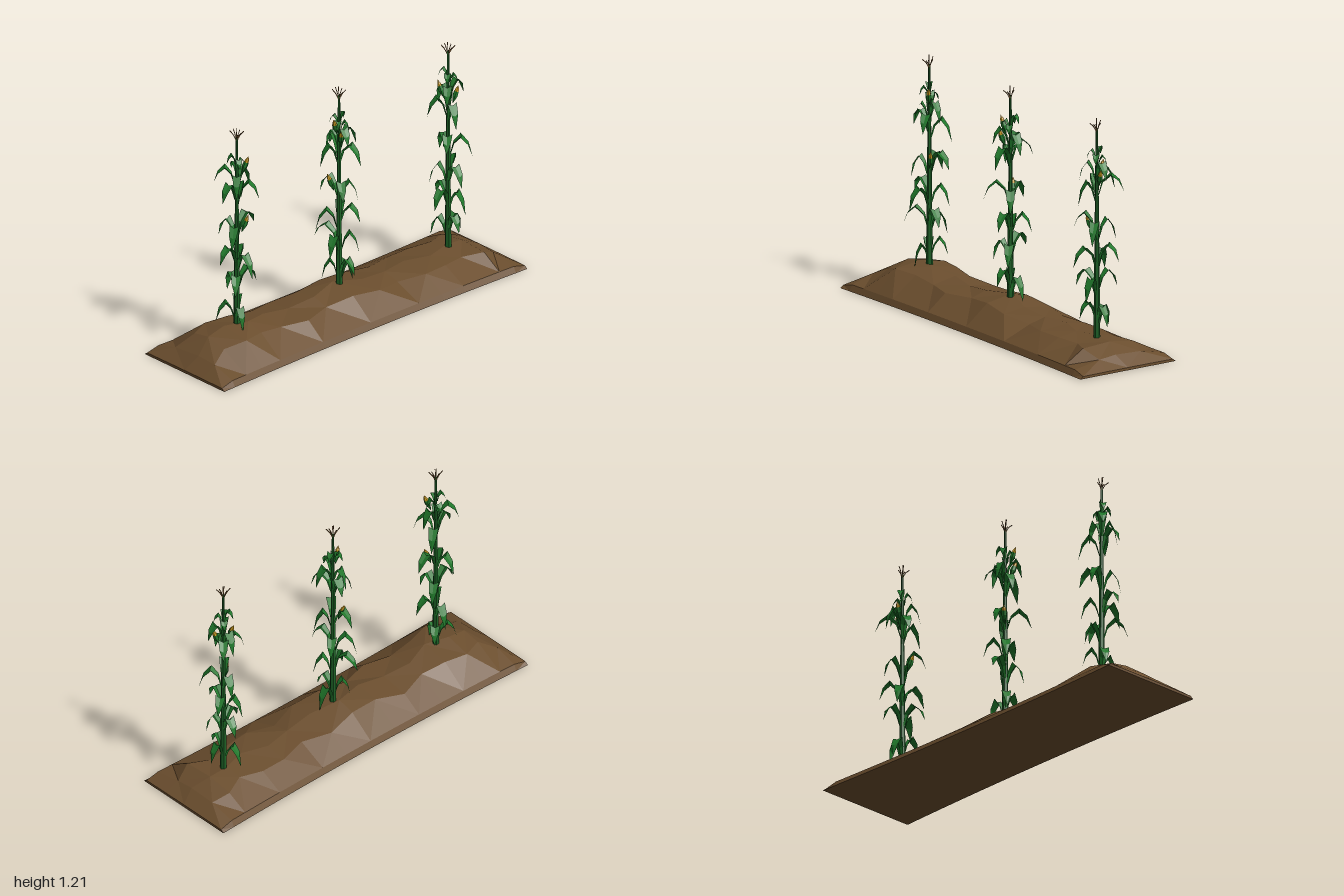
import * as THREE from 'three';

const mat = (color) => new THREE.MeshStandardMaterial({ color, flatShading: true, side: THREE.DoubleSide, roughness: 0.9 });
const soilMat = mat(0x6b4e2e), leafMat = mat(0x1f772a), stemMat = mat(0x1c5f25);
const cornMat = mat(0xd0a020), tasselMat = mat(0x7d5c35);
const rad = THREE.MathUtils.degToRad;

function mesh(geometry, material, name) {
  const m = new THREE.Mesh(geometry, material);
  m.name = name;
  return m;
}

// Surface through equal-length rows of points; a closed one also gets end caps
function loft(rows, closed) {
  const n = rows[0].length, idx = [];
  for (let i = 0; i < rows.length - 1; i++)
    for (let j = 0; j < (closed ? n : n - 1); j++) {
      const k = (j + 1) % n, a = i * n + j, b = i * n + k, c = b + n, d = a + n;
      if ((i + j) % 2) idx.push(a, b, c, a, c, d);
      else idx.push(a, b, d, b, c, d);
    }
  const last = (rows.length - 1) * n;
  if (closed) for (let k = 1; k < n - 1; k++) idx.push(0, k + 1, k, last, last + k, last + k + 1);
  const g = new THREE.BufferGeometry();
  g.setAttribute('position', new THREE.Float32BufferAttribute(rows.flat(2), 3));
  g.setIndex(idx);
  g.computeVertexNormals();
  return g;
}

// Crest of the soil: two soft mounds, falling off at both ends
function crest(z) {
  const bump = (centre, width) => Math.exp(-(((z - centre) / width) ** 2));
  const fall = Math.sin(Math.min(1, (1 - Math.abs(z)) / 0.2) * Math.PI / 2);
  return 0.014 + fall * (0.097 + 0.05 * bump(0.68, 0.25) + 0.043 * bump(0.03, 0.2));
}

function soilRidge() {
  const rows = [], segments = 16;
  for (let i = 0; i <= segments; i++) {
    const u = 1 - (2 * i) / segments, z = (u + Math.sin(u * Math.PI / 2)) / 2;
    const w = 0.265 + 0.02 * z * z, h = crest(z), edge = Math.min(0.03, h * 0.9);
    const end = i % segments === 0;
    rows.push([-1, -0.94, -0.46, 0, 0.46, 0.94, 1].map((s, j) => {
      const t = Math.abs(s), wobble = end || t > 0.5 ? 0 : Math.sin(i * 2.3 + j * 1.7);
      const y = t === 1 ? 0 : t > 0.5 ? edge : t ? edge + (h - edge) * 0.8 + wobble * 0.006 : h;
      return [s * w + wobble * 0.025, y, z];
    }));
  }
  return mesh(loft(rows, true), soilMat, 'soilRidge');
}

// Arching folded blade, angle measured from +z towards +x
function leaf(angle, reach, peak, drop, name) {
  const s = Math.min(1, reach / 0.1);
  const path = [[0.008, peak - 0.11 * s, 0.3], [0.025 * s, peak - 0.04 * s, 0.72], [reach * 0.5, peak, 1],
    [reach * 0.82, peak - drop * 0.38, 0.76], [reach, peak - drop, 0]];
  const rows = path.map(([r, y, width]) => {
    const hw = width * (0.011 + 0.014 * s);
    return [[-hw, y, r], [0, y - hw * 0.45, r + hw * 0.25], [hw, y, r]];
  });
  const m = mesh(loft(rows, false), leafMat, name);
  m.rotation.y = rad(angle);
  return m;
}

// Cob leaning out of its husk
function ear(angle, y) {
  const lathe = (pts) => new THREE.LatheGeometry(pts.map((p) => new THREE.Vector2(...p)), 6);
  const body = new THREE.Group();
  body.name = 'earBody';
  body.add(mesh(lathe([[0.008, 0], [0.012, 0.025], [0.01, 0.052], [0, 0.074]]), cornMat, 'cob'));
  body.add(mesh(lathe([[0, -0.025], [0.0145, 0.018], [0.0125, 0.042]]), leafMat, 'husk'));
  body.position.set(0, y - 0.045, 0.032);
  body.rotation.x = 0.35;
  const g = new THREE.Group();
  g.name = 'ear';
  g.add(body);
  g.rotation.y = rad(angle);
  return g;
}

function tassel() {
  const g = new THREE.Group();
  g.name = 'tassel';
  for (let i = 0; i < 7; i++) {
    const a = i * 2.4, r = i ? 0.024 + 0.01 * (i % 2) : 0.004;
    const at = (k, y) => new THREE.Vector3(Math.sin(a) * r * k, y, Math.cos(a) * r * k);
    const curve = new THREE.CatmullRomCurve3([at(0, 1.13), at(0.35, 1.165), at(1, i ? 1.185 + 0.006 * (i % 3) : 1.21)]);
    g.add(mesh(new THREE.TubeGeometry(curve, 3, 0.0025, 4), tasselMat, 'tasselStrand'));
  }
  return g;
}

function cornPlant({ z, turn, ears }, index) {
  const g = new THREE.Group();
  g.name = 'cornPlant' + (index + 1);
  g.position.z = z;
  // Stalk in tapering joints
  const joints = 7, bottom = crest(z) - 0.03, step = (1.16 - bottom) / joints;
  const radius = (i) => 0.017 - i * 0.0016;
  for (let i = 0; i < joints; i++) {
    const joint = mesh(new THREE.CylinderGeometry(radius(i + 1), radius(i), step, 6), stemMat, 'stalkJoint');
    joint.position.y = bottom + step * (i + 0.5);
    g.add(joint);
  }
  // Tiers of three leaves, each tier turned on from the one below
  [0.28, 0.44, 0.57, 0.72, 0.92, 0.99].forEach((peak, tier) => {
    for (let k = 0; k < 3; k++) {
      const vary = Math.sin(index * 5.1 + tier * 2.7 + k * 4.3);
      const reach = (tier % 5 ? 0.105 : 0.085) + (k ? 0 : 0.02) + vary * 0.01;
      g.add(leaf(turn + tier * 67 + k * 120 + vary * 20, reach, peak + vary * 0.02, 0.105 - vary * 0.02, 'leaf'));
    }
  });
  // Short young leaves clasping the top
  for (let i = 0; i < 4; i++) g.add(leaf(turn + i * 97, 0.05, 1.07 - 0.015 * i, 0.05, 'topLeaf'));
  ears.forEach(([angle, y]) => g.add(ear(angle, y)));
  g.add(tassel());
  return g;
}

// Place along the row, turn of the lowest leaf, and ears as [angle, height]
const plants = [
  { z: 0.655, turn: -31, ears: [[140, 1.03], [150, 0.71]] },
  { z: -0.02, turn: 203, ears: [[60, 0.97], [20, 1.03], [310, 0.71]] },
  { z: -0.74, turn: 303, ears: [[165, 0.94], [30, 0.7], [290, 0.97]] },
];

export function createModel() {
  const model = new THREE.Group();
  model.name = 'cornRow';
  model.add(soilRidge(), ...plants.map(cornPlant));
  return model;
}
